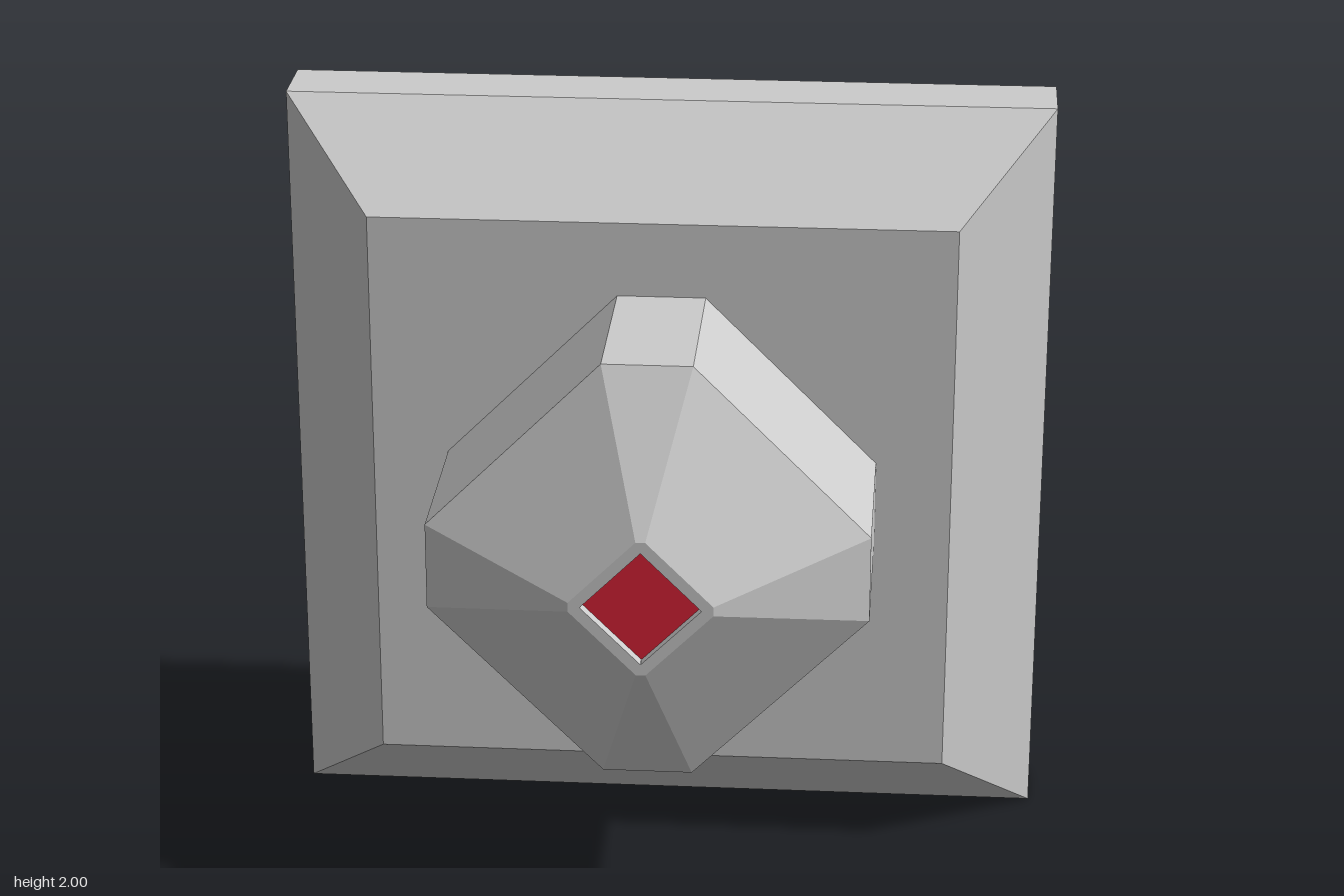
import * as THREE from 'three';

const CENTER_Y = 1;

// Square section, counter-clockwise seen from the front
const square = (h, z) => [[h, -h, z], [h, h, z], [-h, h, z], [-h, -h, z]];

// Diamond with clipped corners: h = reach of the corners, s = half width of the clip
const clippedDiamond = (h, s, z) => [
  [h, -s, z], [h, s, z], [s, h, z], [-s, h, z],
  [-h, s, z], [-h, -s, z], [-s, -h, z], [s, -h, z],
];

// Joins sections from back to front with flat faces, with optional end caps
function loft(sections, capBack, capFront) {
  const pos = [];
  const tri = (a, b, c) => pos.push(...a, ...b, ...c);
  for (let k = 0; k < sections.length - 1; k++) {
    const a = sections[k], b = sections[k + 1], n = a.length;
    for (let i = 0; i < n; i++) {
      const j = (i + 1) % n;
      tri(a[i], a[j], b[j]);
      tri(a[i], b[j], b[i]);
    }
  }
  const back = sections[0], front = sections[sections.length - 1];
  for (let i = 1; i < back.length - 1; i++) {
    if (capBack) tri(back[0], back[i + 1], back[i]);
    if (capFront) tri(front[0], front[i], front[i + 1]);
  }
  const geometry = new THREE.BufferGeometry();
  geometry.setAttribute('position', new THREE.Float32BufferAttribute(pos, 3));
  geometry.computeVertexNormals();
  return geometry;
}

export function createModel() {
  const grey = new THREE.MeshStandardMaterial({ color: 0xcccccc });
  grey.name = 'light grey';
  const red = new THREE.MeshStandardMaterial({ color: 0xd92236 });
  red.name = 'red';

  const group = new THREE.Group();
  group.name = 'wallButton';
  const add = (name, geometry, material) => {
    const mesh = new THREE.Mesh(geometry, material);
    mesh.name = name;
    mesh.position.y = CENTER_Y;
    group.add(mesh);
  };

  // Square wall plate with bevelled front
  add('wallPlate', loft([square(1, -0.58), square(1, -0.39), square(0.757, -0.115)], true, true), grey);

  // Faceted knob: straight shank, tapered nose, rim and recess wall
  const lensBack = clippedDiamond(0.15, 0.001, 0.55);
  add('knob', loft([
    clippedDiamond(0.56, 0.114, -0.115),
    clippedDiamond(0.56, 0.114, 0.363),
    clippedDiamond(0.18, 0.012, 0.58),
    clippedDiamond(0.15, 0.001, 0.58),
    lensBack,
  ], false, false), grey);

  // Red lens at the bottom of the recess
  add('lens', loft([lensBack], false, true), red);

  return group;
}
